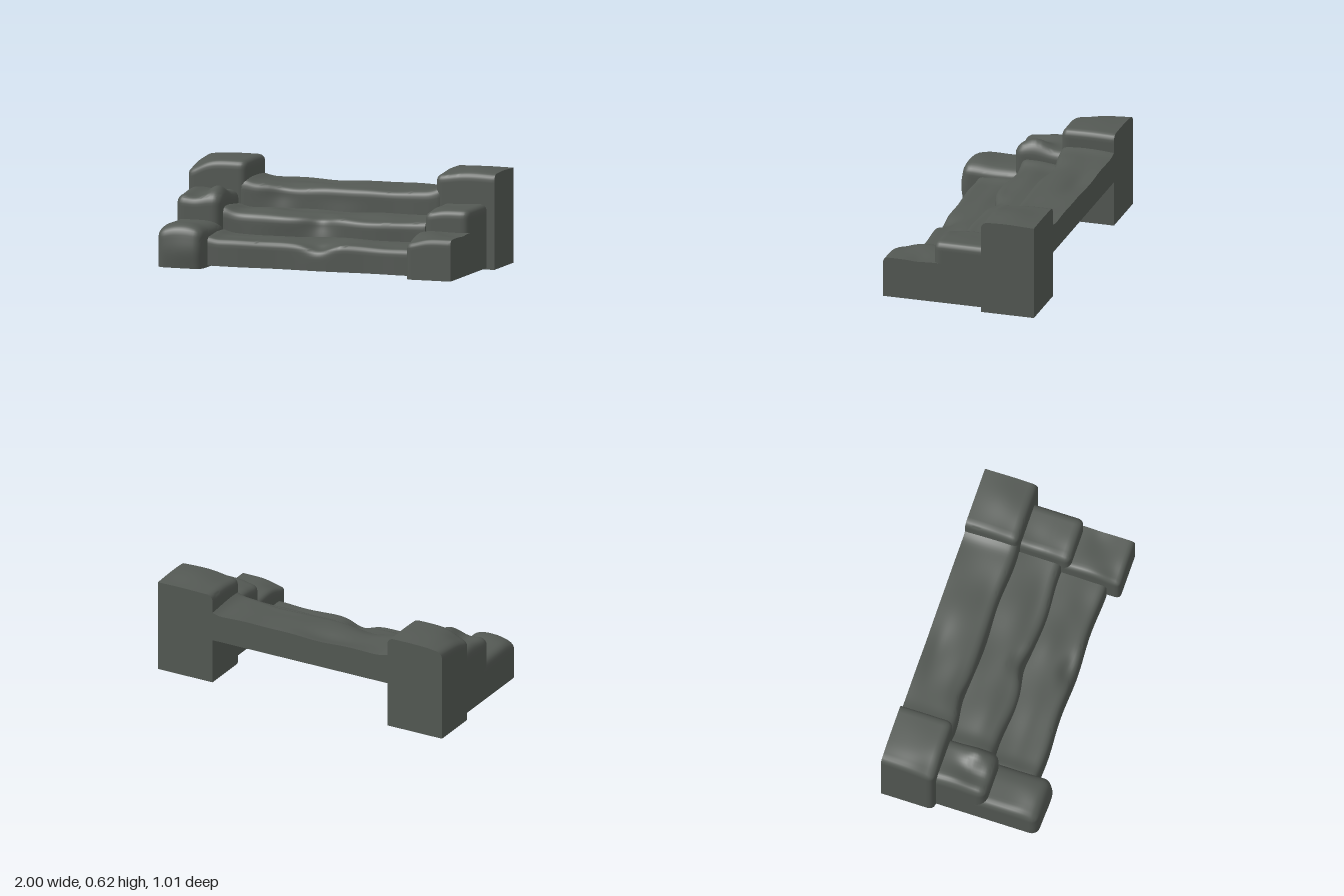
import * as THREE from 'three';
import { mergeVertices, toCreasedNormals } from 'three/addons/utils/BufferGeometryUtils.js';

const stone = new THREE.MeshStandardMaterial({ color: 0x545954 });
stone.name = 'dark stone';

// Sum of soft bumps, each [u, v, widthU, widthV, height]
const bumps = (list, u, v) => list.reduce((s, [a, b, wa, wb, h]) =>
  s + h * Math.exp(-(((u - a) / wa) ** 2) - (((v - b) / wb) ** 2)), 0);

// Worn block between two corners. r: rounding radius; round: which of
// [x0, x1, y0, y1, z0, z1] sides are rounded; top: bumps over (x, z);
// front: bumps over (x, y) pushing the front face along z.
function rock(name, lo, hi, { r = 0.04, round = [1, 1, 0, 1, 0, 1], top = [], front = [], wave = 0 }) {
  const size = hi.map((h, i) => h - lo[i]);
  const seg = size.map(s => Math.max(4, Math.round(s / 0.018)));
  let geo = new THREE.BoxGeometry(...size, ...seg);
  geo.translate(...lo.map((l, i) => (l + hi[i]) / 2));
  geo.deleteAttribute('uv');
  geo.deleteAttribute('normal');
  geo = mergeVertices(geo);
  const a = new THREE.Vector3(...lo.map((l, i) => l + r * round[2 * i]));
  const b = new THREE.Vector3(...hi.map((h, i) => h - r * round[2 * i + 1]));
  const pos = geo.attributes.position, p = new THREE.Vector3(), q = new THREE.Vector3();
  for (let i = 0; i < pos.count; i++) {
    p.fromBufferAttribute(pos, i);
    q.copy(p).clamp(a, b);
    p.sub(q);
    if (p.lengthSq() > 1e-9) p.setLength(r);
    p.add(q);
    const up = THREE.MathUtils.smoothstep((p.y - lo[1]) / size[1], 0.3, 1);
    const fwd = THREE.MathUtils.smoothstep((p.z - lo[2]) / size[2], 0.4, 1);
    const { x, y, z } = p;
    const ripple = Math.sin(x * 9 + z * 14) * 0.6 + Math.sin(x * 17 - z * 9 + lo[2] * 20) * 0.4;
    p.y += up * (bumps(top, x, z) + wave * ripple);
    p.z += fwd * (bumps(front, x, y) + wave * 1.5 * Math.sin(x * 11 + lo[2] * 9));
    pos.setXYZ(i, p.x, p.y, p.z);
  }
  const mesh = new THREE.Mesh(toCreasedNormals(geo, 1.0), stone);
  mesh.name = name;
  return mesh;
}

export function createModel() {
  const g = new THREE.Group();
  g.name = 'stoneSteps';

  // Three overlapping tread slabs, open underneath
  g.add(
    rock('topStep', [-0.68, 0.3, -0.505], [0.68, 0.475, -0.17], {
      wave: 0.005, r: 0.045,
      top: [[-0.5, -0.25, 0.12, 0.1, 0.01], [-0.15, -0.42, 0.2, 0.06, -0.015],
        [-0.3, -0.19, 0.2, 0.06, -0.02], [0.3, -0.22, 0.15, 0.08, -0.01],
        [-0.64, -0.3, 0.06, 0.4, 0.025], [0.66, -0.3, 0.06, 0.4, 0.035]],
      front: [[-0.4, 0.42, 0.1, 0.1, -0.02], [0, 0.42, 0.15, 0.1, -0.01]],
    }),
    rock('middleStep', [-0.69, 0.17, -0.21], [0.648, 0.33, 0.11], {
      wave: 0.005, r: 0.045, round: [0, 0, 0, 1, 0, 1],
      top: [[-0.35, -0.02, 0.25, 0.06, 0.012], [0.3, 0.05, 0.25, 0.07, -0.015],
        [-0.03, 0.09, 0.09, 0.06, -0.02], [-0.67, 0, 0.06, 0.3, 0.03]],
      front: [[-0.04, 0.3, 0.09, 0.1, -0.03], [-0.3, 0.3, 0.15, 0.1, 0.01]],
    }),
    rock('bottomStep', [-0.69, 0.035, 0.07], [0.648, 0.2, 0.39], {
      wave: 0.004, r: 0.035, round: [0, 0, 0, 1, 0, 1],
      top: [[0.06, 0.36, 0.09, 0.05, -0.035], [0.2, 0.18, 0.15, 0.08, 0.018],
        [-0.4, 0.22, 0.25, 0.05, 0.008], [0.5, 0.3, 0.12, 0.08, -0.012], [-0.67, 0.2, 0.05, 0.3, 0.02]],
      front: [[0.05, 0.2, 0.08, 0.04, -0.02]],
    }),
  );

  // Tall rear pillars
  g.add(
    rock('rightPillar', [-1, 0.015, -0.505], [-0.615, 0.605, -0.165], {
      r: 0.04,
      top: [[-1, -0.2, 0.08, 0.3, -0.03], [-0.97, -0.17, 0.1, 0.1, -0.03],
        [-0.75, -0.35, 0.15, 0.15, 0.008]],
    }),
    rock('leftPillar', [0.615, 0.015, -0.505], [1, 0.6, -0.165], {
      r: 0.04, round: [1, 0, 0, 1, 0, 1],
      top: [[0.85, -0.32, 0.15, 0.14, 0.02], [0.64, -0.2, 0.1, 0.12, -0.015]],
    }),
  );

  // Stepped side walls in front of the pillars
  g.add(
    rock('rightUpperWall', [-0.96, 0.025, -0.19], [-0.665, 0.43, 0.155], {
      r: 0.055,
      top: [[-0.73, 0.03, 0.07, 0.09, 0.05], [-0.92, -0.06, 0.07, 0.12, 0.02],
        [-0.84, 0.06, 0.07, 0.1, -0.02]],
    }),
    rock('rightLowerWall', [-0.96, 0.025, 0.08], [-0.665, 0.28, 0.485], {
      r: 0.05,
      top: [[-0.8, 0.4, 0.12, 0.08, 0.013], [-0.67, 0.3, 0.06, 0.3, -0.02], [-0.95, 0.48, 0.07, 0.08, -0.02]],
      front: [[-0.76, 0.13, 0.16, 0.1, 0.02]],
    }),
    rock('leftUpperWall', [0.66, 0.025, -0.19], [0.95, 0.417, 0.155], {
      r: 0.04,
      top: [[0.67, 0.12, 0.08, 0.1, -0.02], [0.72, -0.1, 0.1, 0.1, -0.01]],
    }),
    rock('leftLowerWall', [0.66, 0.025, 0.08], [0.95, 0.28, 0.478], {
      r: 0.03, round: [1, 0, 0, 1, 0, 1],
      top: [[0.72, 0.27, 0.1, 0.1, 0.012], [0.67, 0.46, 0.09, 0.09, -0.03], [0.9, 0.26, 0.08, 0.06, -0.008]],
    }),
  );

  // Small chip hanging below the bottom step
  const chip = new THREE.Mesh(new THREE.ConeGeometry(0.04, 0.05, 6), stone);
  chip.name = 'stoneChip';
  chip.geometry.rotateX(Math.PI);
  const cp = chip.geometry.attributes.position;
  for (let i = 0; i < cp.count; i++) if (cp.getY(i) < 0) cp.setZ(i, cp.getZ(i) - 0.035);
  chip.geometry.computeVertexNormals();
  chip.position.set(0.045, 0.025, 0.16);
  g.add(chip);
  return g;
}
